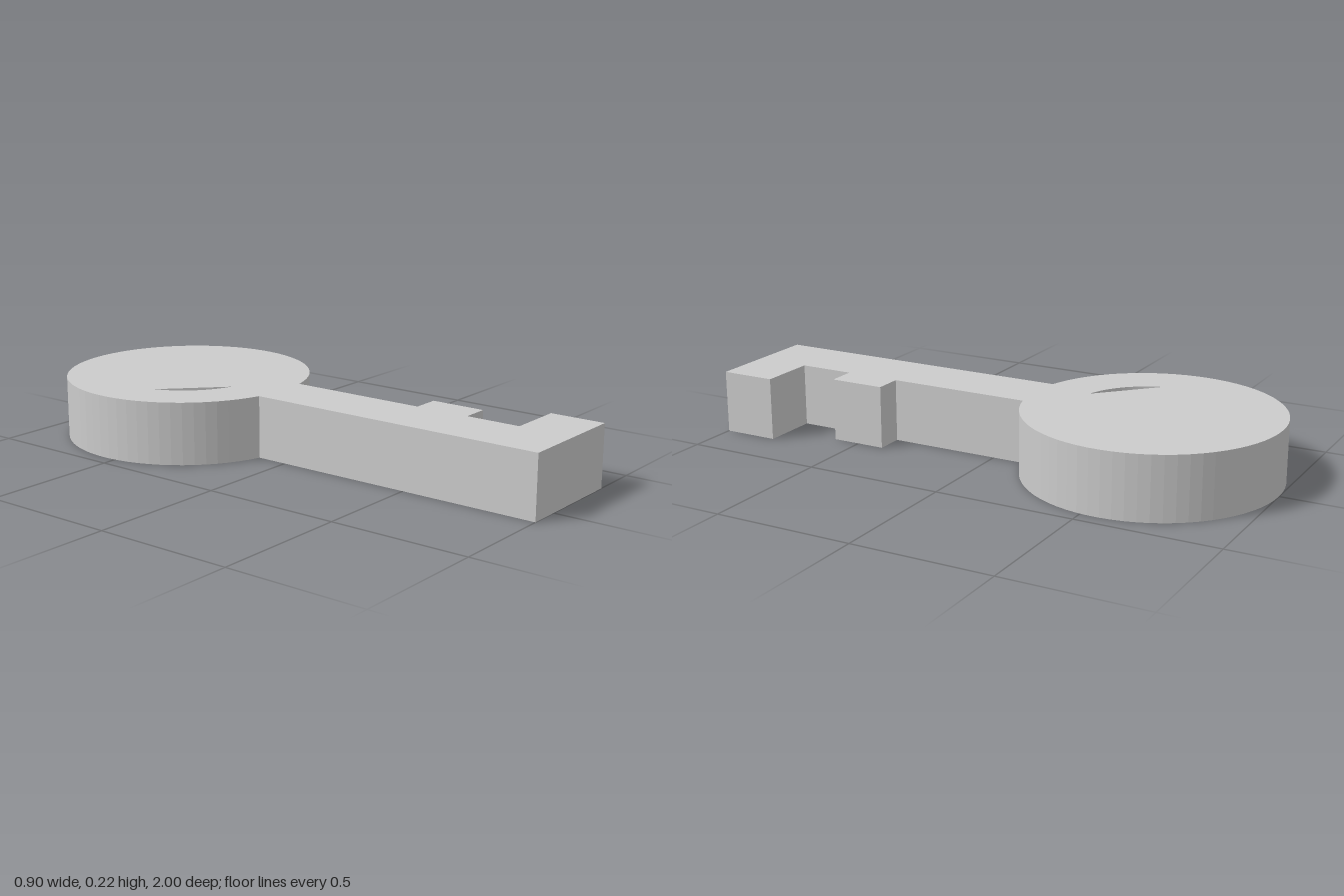
import * as THREE from 'three';

const HEIGHT = 0.225;      // thickness of the key
const POCKET = 0.12;       // depth of the recess in the bow
const R = 0.45;            // bow radius
const CY = 0.55;           // bow centre (plan y = -z)
const W = 0.113;           // half width of the shaft

const material = new THREE.MeshStandardMaterial({ color: 0xcccccc });

// Plan shape extruded upwards from the ground
function slab(name, shape, depth) {
  const geometry = new THREE.ExtrudeGeometry(shape, { depth, bevelEnabled: false, curveSegments: 32 });
  geometry.rotateX(-Math.PI / 2);
  const mesh = new THREE.Mesh(geometry, material);
  mesh.name = name;
  return mesh;
}

// Circular segment recess, concentric with the bow
function segment(PathType) {
  const path = new PathType();
  path.absarc(0, CY, 0.28, THREE.MathUtils.degToRad(196.5), THREE.MathUtils.degToRad(255.5), false);
  path.closePath();
  return path;
}

export function createModel() {
  const group = new THREE.Group();
  group.name = 'key';

  // Shaft with two teeth, running into the round bow
  const outline = new THREE.Shape();
  outline.moveTo(-W, -1);
  for (const [x, y] of [
    [0.32, -1], [0.32, -0.8], [W, -0.8],
    [W, -0.6], [0.213, -0.6], [0.213, -0.4], [W, -0.4],
  ]) outline.lineTo(x, y);
  const a = Math.acos(W / R);
  outline.absarc(0, CY, R, -a, Math.PI + a, false);
  outline.closePath();
  outline.holes.push(segment(THREE.Path));
  group.add(slab('keyBody', outline, HEIGHT));

  // Floor closing the recess from below
  group.add(slab('recessFloor', segment(THREE.Shape), HEIGHT - POCKET));

  return group;
}
